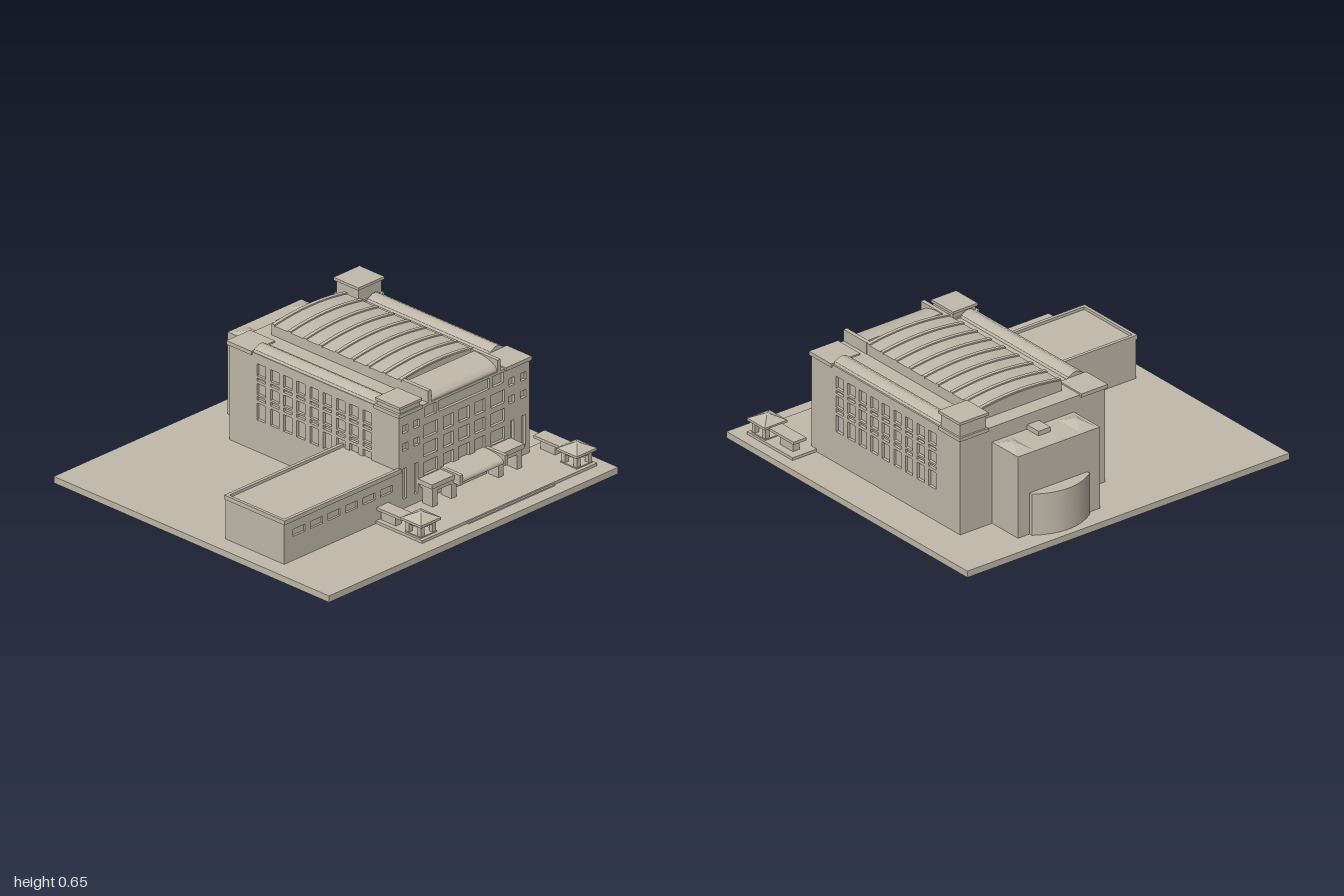
import * as THREE from 'three';
import { toCreasedNormals } from 'three/addons/utils/BufferGeometryUtils.js';

export function createModel() {
  const root = new THREE.Group();
  root.name = 'civicBuilding';
  const stone = new THREE.MeshStandardMaterial({ color: 0xc0b8aa });
  stone.name = 'stone';
  const MID = 0.34; // x of the main building's axis

  const add = (name, geometry) => {
    const m = new THREE.Mesh(geometry, stone);
    m.name = name;
    root.add(m);
    return m;
  };
  // Box given by its limits
  const box = (name, x0, x1, y0, y1, z0, z1) => {
    const g = new THREE.BoxGeometry(x1 - x0, y1 - y0, z1 - z0);
    g.translate((x0 + x1) / 2, (y0 + y1) / 2, (z0 + z1) / 2);
    return add(name, g);
  };
  const polygon = (pts) => new THREE.Shape(pts.map((p) => new THREE.Vector2(...p)));
  const rect = (x0, x1, y0, y1) => [[x0, y0], [x1, y0], [x1, y1], [x0, y1]];
  const extrude = (shape, depth) =>
    toCreasedNormals(new THREE.ExtrudeGeometry(shape, { depth, bevelEnabled: false, curveSegments: 16 }), 0.5);
  // Profile in x,y running along z
  const alongZ = (name, shape, z0, z1) => add(name, extrude(shape, z1 - z0).translate(0, 0, z0));
  // Profile in z,y running along x
  const alongX = (name, shape, x0, x1) =>
    add(name, extrude(shape, x1 - x0).rotateY(-Math.PI / 2).translate(x1, 0, 0));
  const withHoles = (outline, holes) => {
    const s = polygon(outline);
    holes.forEach((h) => s.holes.push(polygon(rect(...h))));
    return s;
  };
  // Four-sided hip roof
  const hip = (name, cx, cz, w, d, y0, y1, top = 0.05) => {
    const g = new THREE.CylinderGeometry(top * Math.SQRT1_2, Math.SQRT1_2, y1 - y0, 4, 1).toNonIndexed();
    g.rotateY(Math.PI / 4).scale(w, 1, d).translate(cx, (y0 + y1) / 2, cz);
    g.computeVertexNormals();
    add(name, g);
  };

  // Ground slab and front terrace
  box('groundSlab', -1, 1, 0, 0.035, -0.94, 0.94);
  box('terrace', -0.27, 0.94, 0.035, 0.05, 0.5, 0.855);
  box('terraceStep', 0.04, 0.64, 0.035, 0.042, 0.85, 0.865);

  // Main hall core, with pierced walls around it
  const T = 0.015;
  box('mainCore', -0.11 + T, 0.79 - T, 0.035, 0.562, -0.62, 0.54 - T);
  const front = [];
  for (const [a, b] of [[0.06, 0.155], [0.195, 0.265], [0.305, 0.375], [0.415, 0.485], [0.525, 0.62]])
    for (const y of [0.18, 0.28, 0.38]) front.push([a, b, y, y + 0.07]);
  front.push([0.07, 0.145, 0.49, 0.548], [0.165, 0.515, 0.49, 0.548], [0.535, 0.61, 0.49, 0.548]);
  const mirror = ([a, b, c, d]) => [2 * MID - b, 2 * MID - a, c, d];
  for (const x of [-0.087, -0.007]) {
    for (const h of [[x, x + 0.038, 0.36, 0.4], [x, x + 0.038, 0.455, 0.497], [x + 0.004, x + 0.028, 0.1, 0.265]])
      front.push(h, mirror(h));
  }
  alongZ('frontWall', withHoles(rect(-0.11, 0.79, 0.035, 0.562), front), 0.54 - T, 0.54);

  const side = [];
  for (let i = 0; i < 9; i++) {
    const z = 0.292 - i * 0.0903;
    for (const [a, b] of [[0.207, 0.297], [0.313, 0.333], [0.343, 0.403], [0.418, 0.433], [0.445, 0.51]])
      side.push([z, z + 0.058, a, b]);
  }
  const sideShape = withHoles(rect(-0.62, 0.54 - T, 0.035, 0.562), side);
  alongX('rightWall', sideShape, -0.11, -0.11 + T);
  alongX('leftWall', sideShape, 0.79 - T, 0.79);

  // Corner cornices
  for (const [x0, x1] of [[-0.12, 0.045], [0.62, 0.8]]) {
    box('frontCornice', x0, x1, 0.55, 0.57, 0.375, 0.548);
    box('backCornice', x0, x1, 0.55, 0.57, -0.63, -0.46);
  }
  // Two raised corner turrets with caps
  box('frontTurret', -0.105, 0.035, 0.57, 0.595, 0.385, 0.54);
  box('frontTurretCap', -0.113, 0.042, 0.593, 0.607, 0.378, 0.547);
  box('backTurret', 0.63, 0.79, 0.57, 0.645, -0.62, -0.47);
  box('backTurretCap', 0.62, 0.8, 0.64, 0.655, -0.63, -0.46);

  // Ridged roofs along both sides
  for (const c of [-0.055, 0.73])
    alongZ('sideRidge', polygon([[c - 0.052, 0.56], [c + 0.052, 0.56], [c + 0.045, 0.574], [c + 0.012, 0.592],
      [c - 0.012, 0.592], [c - 0.045, 0.574]]), -0.46, 0.378);

  // Barrel roof on its curb, with cross ribs
  const bow = (half, y0, spring, rise) => {
    const pts = [[MID - half, y0], [MID + half, y0]];
    for (let i = 0; i <= 24; i++) {
      const t = 1 - i / 12;
      pts.push([MID + half * t, spring + rise * (1 - t * t)]);
    }
    return polygon(pts);
  };
  box('roofCurb', 0.09, 0.59, 0.56, 0.612, -0.53, 0.36);
  alongZ('barrelRoof', bow(0.25, 0.612, 0.617, 0.022), -0.53, 0.36);
  for (let i = 0; i < 9; i++) {
    const z = 0.348 - i * 0.108;
    alongZ('roofRib', bow(0.252, 0.612, 0.624, 0.022), z - 0.01, z + 0.01);
  }

  // Curved visors: quarter-round roof between end fins
  const visor = (z0, z1, y0, y1, drop) => {
    const pts = [[z0, y0], [z1, y0]];
    for (let i = 0; i <= 12; i++) {
      const a = (i / 12) * Math.PI / 2;
      pts.push([z0 + (z1 - z0) * Math.cos(a), y1 - drop + drop * Math.sin(a)]);
    }
    return polygon(pts);
  };
  alongX('roofVisor', visor(0.38, 0.535, 0.56, 0.622, 0.055), 0.11, 0.57);
  for (const x of [0.09, 0.57]) box('visorFin', x, x + 0.022, 0.56, 0.625, 0.36, 0.54);

  // Entrance wall and porch
  const panes = [];
  for (let i = 0; i < 5; i++)
    for (const y of [0.06, 0.1]) panes.push([0.222 + i * 0.049, 0.258 + i * 0.049, y, y + 0.034]);
  alongZ('entranceWall', withHoles(rect(0.2, 0.48, 0.05, 0.15), panes), 0.54, 0.555);
  alongX('porchVisor', visor(0.54, 0.665, 0.137, 0.182, 0.035), 0.19, 0.49);
  for (const x of [0.175, 0.485]) box('porchFin', x, x + 0.02, 0.13, 0.185, 0.54, 0.675);
  for (const s of [-1, 1]) {
    const span = (name, a, b, ...rest) =>
      box(name, MID + Math.min(s * a, s * b), MID + Math.max(s * a, s * b), ...rest);
    span('sidePorchRoof', 0.15, 0.32, 0.15, 0.175, 0.54, 0.635);
    span('sidePorchBeam', 0.155, 0.31, 0.13, 0.15, 0.545, 0.63);
    span('innerPier', 0.145, 0.18, 0.05, 0.135, 0.56, 0.63);
    span('outerPier', 0.275, 0.31, 0.05, 0.135, 0.56, 0.63);
  }

  // Corner pavilions and the short covered walks behind them
  for (const [x, walk] of [[-0.203, -0.225], [0.875, 0.878]]) {
    const z = 0.78;
    box('pavilionEave', x - 0.07, x + 0.07, 0.115, 0.128, z - 0.07, z + 0.07);
    hip('pavilionRoof', x, z, 0.136, 0.136, 0.128, 0.158, 0.15);
    box('pavilionBeam', x - 0.052, x + 0.052, 0.1, 0.115, z - 0.052, z + 0.052);
    box('pavilionBase', x - 0.055, x + 0.055, 0.05, 0.056, z - 0.055, z + 0.055);
    for (const i of [-1, 1]) for (const j of [-1, 1]) {
      const px = x + i * 0.04, pz = z + j * 0.04;
      box('pavilionPost', px - 0.012, px + 0.012, 0.05, 0.1, pz - 0.012, pz + 0.012);
    }
    box('walkRoof', walk - 0.04, walk + 0.04, 0.105, 0.12, 0.52, 0.71);
    box('walkWall', walk - 0.02, walk + 0.02, 0.05, 0.105, 0.55, 0.65);
  }

  // Low side wing with ribbon of windows and a parapet
  box('wingCore', -0.905, -0.1, 0.035, 0.258, 0.14, 0.528);
  const wing = [];
  for (let i = 0; i < 6; i++) wing.push([-0.845 + i * 0.121, -0.76 + i * 0.121, 0.165, 0.203]);
  alongZ('wingFront', withHoles(rect(-0.905, -0.11, 0.035, 0.258), wing), 0.528, 0.54);
  box('wingParapetFront', -0.91, -0.1, 0.25, 0.273, 0.528, 0.546);
  box('wingParapetBack', -0.91, -0.1, 0.25, 0.273, 0.135, 0.153);
  box('wingParapetEnd', -0.91, -0.893, 0.25, 0.273, 0.153, 0.528);

  // Rear block with roof hips, roof hatch and bowed bay
  box('rearBlock', 0.083, 0.592, 0.035, 0.48, -0.822, -0.61);
  hip('rearHip', 0.145, -0.72, 0.1, 0.16, 0.48, 0.502, 0.2);
  hip('rearHip', 0.535, -0.72, 0.1, 0.16, 0.48, 0.502, 0.2);
  box('rearHatch', 0.3, 0.375, 0.48, 0.505, -0.71, -0.62);
  const bay = [[0.16, 0.8], [0.52, 0.8]];
  for (let i = 0; i <= 16; i++) {
    const t = 1 - i / 8;
    bay.push([MID + 0.18 * t, 0.84 + 0.06 * (1 - t * t)]);
  }
  add('rearBay', extrude(polygon(bay), 0.225).rotateX(-Math.PI / 2).translate(0, 0.035, 0));

  return root;
}
